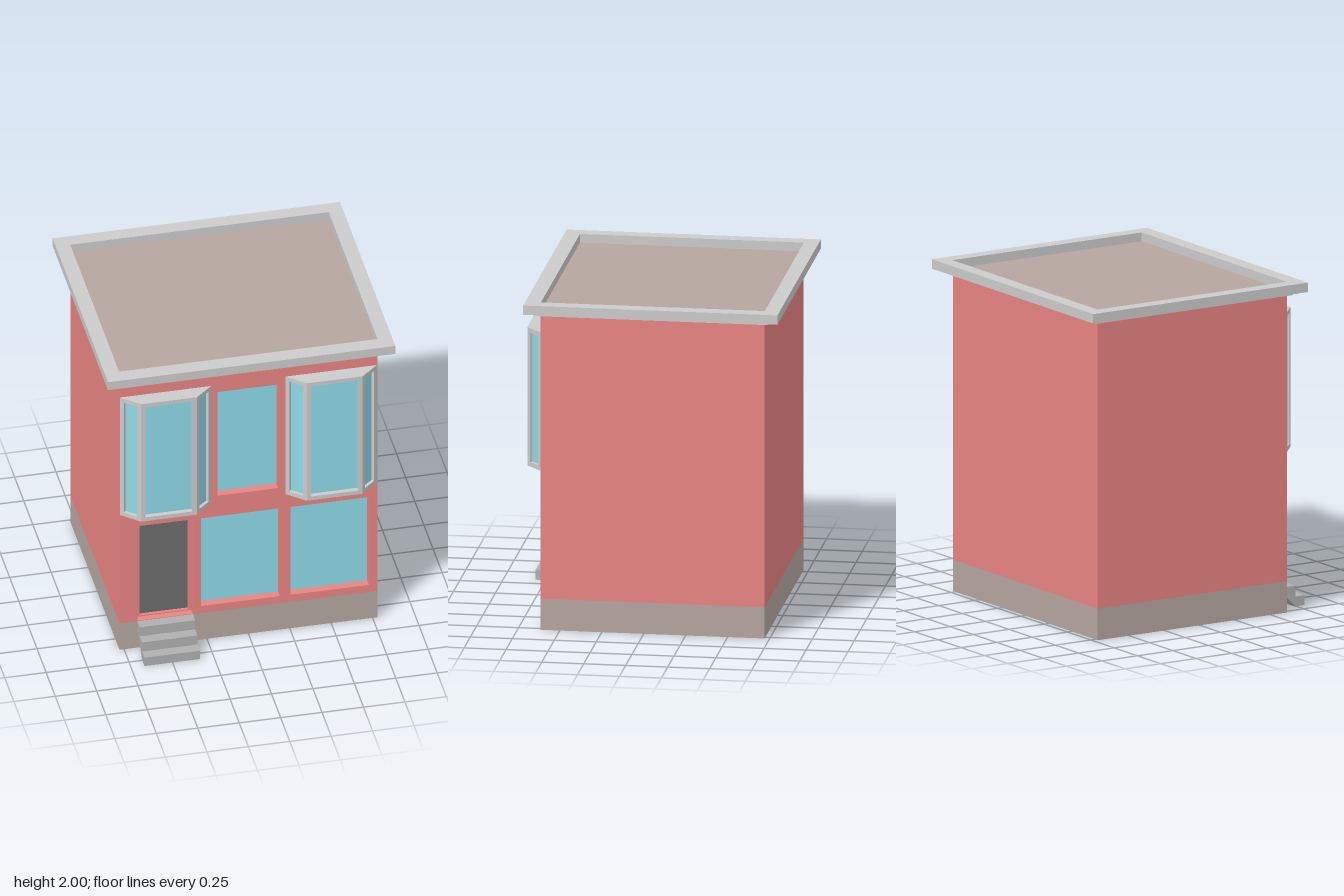
import * as THREE from 'three';

const mat = (color) => new THREE.MeshStandardMaterial({ color, flatShading: true, side: THREE.DoubleSide });

// Closed outline from a list of [x, y] corners
const outline = (pts) => new THREE.Shape(pts.map(([x, y]) => new THREE.Vector2(x, y)));

// Rectangle as corners, from its limits
const rect = (x0, y0, x1, y1) => [[x0, y0], [x1, y0], [x1, y1], [x0, y1]];

// Flat plate with rectangular openings, front face at z = 0, going back by depth
function plate(outer, holes, depth) {
  const shape = outline(outer);
  for (const h of holes) shape.holes.push(outline(rect(...h).reverse()));
  return new THREE.ExtrudeGeometry(shape, { depth, bevelEnabled: false }).translate(0, 0, -depth);
}

export function createModel() {
  const house = new THREE.Group();
  house.name = 'townHouse';
  const brick = mat(0xe88482), stone = mat(0xb5a59f), trim = mat(0xcccccc);
  const glass = mat(0x8ed8e8), dark = mat(0x6c6c6c), stepGrey = mat(0xb0b0b0);

  const W = 0.778, FRONT = 0.615, BACK = -0.72, BASE = 0.19, TOP = 1.92, WALL = 0.08;

  function add(name, geometry, material, parent = house) {
    const mesh = new THREE.Mesh(geometry, material);
    mesh.name = name;
    parent.add(mesh);
    return mesh;
  }
  function box(name, material, x0, y0, z0, x1, y1, z1) {
    const g = new THREE.BoxGeometry(x1 - x0, y1 - y0, z1 - z0);
    return add(name, g.translate((x0 + x1) / 2, (y0 + y1) / 2, (z0 + z1) / 2), material);
  }
  function pane(name, material, [x0, y0, x1, y1], z, parent) {
    const g = new THREE.PlaneGeometry(x1 - x0, y1 - y0);
    return add(name, g.translate((x0 + x1) / 2, (y0 + y1) / 2, z), material, parent);
  }

  // Plinth and body
  box('plinth', stone, -W, 0, BACK, W, BASE, FRONT);
  box('body', brick, -W, BASE, BACK, W, TOP, FRONT - WALL);

  // Front wall with openings for windows and door
  const windows = [
    [-0.285, 0.24, 0.19, 0.872],
    [0.255, 0.24, 0.728, 0.872],
    [-0.185, 1.02, 0.18, 1.765],
  ];
  const doorway = [-0.67, BASE + 0.003, -0.335, 0.872];
  const wall = plate(rect(-W, BASE, W, TOP), [...windows, doorway], WALL);
  add('frontWall', wall.translate(0, 0, FRONT), brick);
  for (const w of windows) pane('windowPane', glass, w, FRONT - 0.05);

  // Door set back inside a frame
  const door = [-0.647, 0.2, -0.355, 0.862];
  add('doorFrame', plate(rect(...doorway), [door], 0.03).translate(0, 0, FRONT - 0.04), brick);
  pane('door', dark, door, FRONT - 0.06);

  // Bay windows: three framed faces plus top and bottom
  const y0 = 0.97, y1 = 1.815;
  for (const cx of [-0.5, 0.5]) {
    const bay = new THREE.Group();
    bay.name = 'bayWindow';
    house.add(bay);
    const plan = [[-0.276, FRONT], [-0.168, 0.71], [0.168, 0.71], [0.276, FRONT]].map(([x, z]) => [x + cx, z]);
    for (let i = 0; i < 3; i++) {
      const [a, b] = [plan[i], plan[i + 1]];
      const dx = b[0] - a[0], dz = b[1] - a[1], len = Math.hypot(dx, dz);
      const recess = i === 1 ? 0.03 : 0.02;
      const rim = i === 1 ? 0.025 : 0.027;
      const opening = [rim, y0 + 0.027, len - rim, y1 - 0.027];
      const face = new THREE.Group();
      face.name = 'bayFace';
      face.position.set(a[0], 0, a[1]);
      face.rotation.y = Math.atan2(-dz, dx);
      bay.add(face);
      add('bayFrame', plate(rect(0, y0, len, y1), [opening], recess), trim, face);
      pane('bayPane', glass, opening, -recess + 0.001, face);
    }
    for (const y of [y0, y1]) {
      const cap = new THREE.ShapeGeometry(outline(plan)).rotateX(Math.PI / 2);
      add(y === y0 ? 'bayBottom' : 'bayTop', cap.translate(0, y, 0), trim, bay);
    }
  }

  // Entrance steps with a sloping underside
  const profile = [
    [0.745, 0], [0.81, 0], [0.81, 0.06], [0.745, 0.06], [0.745, 0.125],
    [0.68, 0.125], [0.68, 0.19], [0.61, 0.19], [0.61, 0.135],
  ];
  const steps = new THREE.ExtrudeGeometry(outline(profile.map(([z, y]) => [-z, y]).reverse()), { depth: 0.335, bevelEnabled: false });
  add('entranceSteps', steps.rotateY(Math.PI / 2).translate(-0.67, 0, 0), stepGrey);

  // Moulding, roof deck and parapet ring
  box('moulding', trim, -0.8, TOP, -0.742, 0.8, 1.943, 0.637);
  box('roofDeck', stone, -0.79, 1.93, -0.73, 0.79, 1.947, 0.625);
  const ring = outline(rect(-0.867, -0.705, 0.867, 0.81));
  ring.holes.push(outline(rect(-0.78, -0.612, 0.78, 0.722).reverse()));
  const parapet = new THREE.ExtrudeGeometry(ring, { depth: 0.057, bevelEnabled: false });
  add('parapet', parapet.rotateX(-Math.PI / 2).translate(0, 1.943, 0), trim);

  return house;
}
